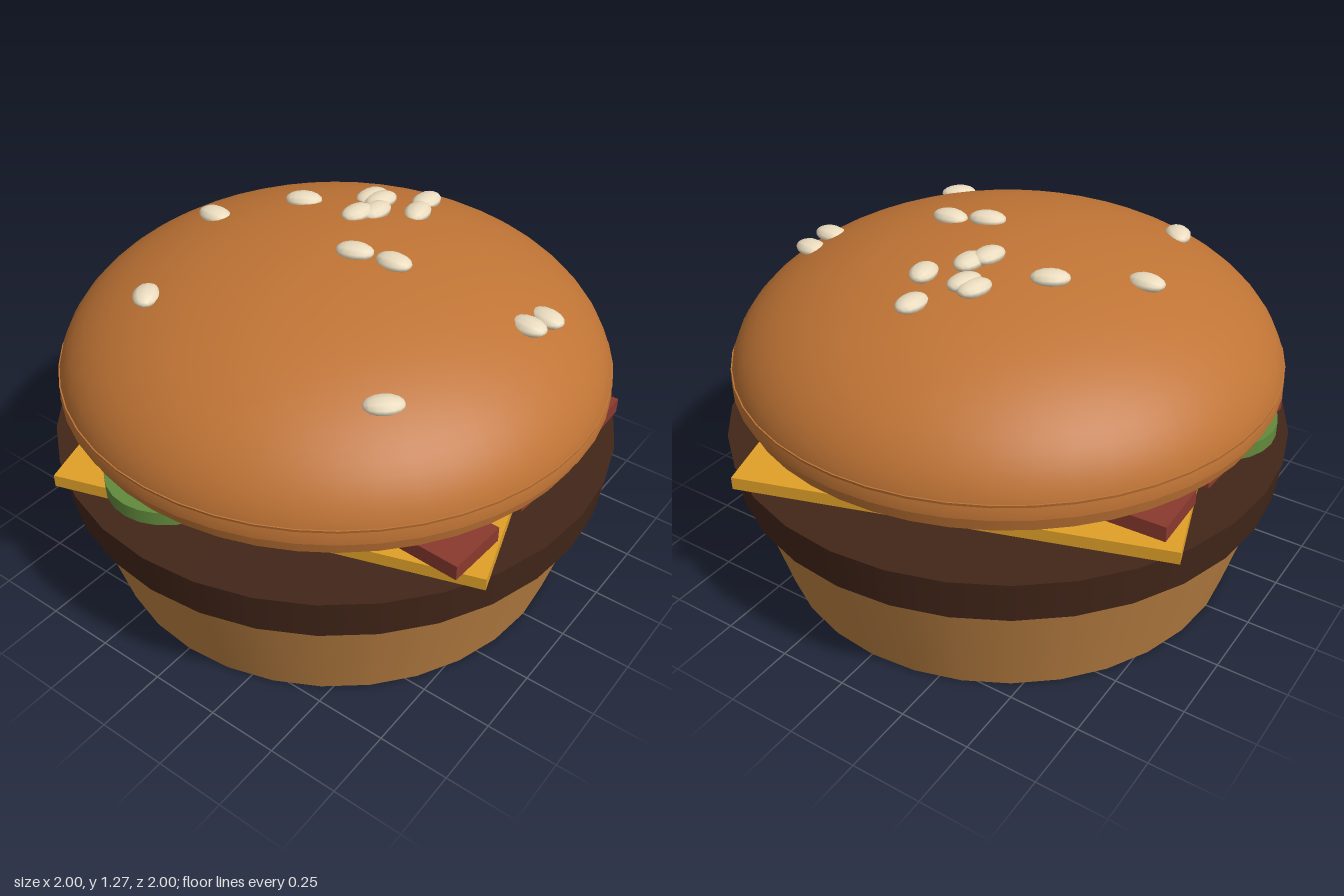
import * as THREE from 'three';

const mat = (color) => new THREE.MeshStandardMaterial({ color });
const bunTopMat = mat(0xc07435), bunBaseMat = mat(0xbf8344), pattyMat = mat(0x432619);
const cheeseMat = mat(0xe0a028), baconMat = mat(0x8b3a2e), pickleMat = mat(0x628a3c), seedMat = mat(0xebddc0);

// Dome of the top bun: a flattened half ellipsoid
const DOME = { y: 0.765, radius: 0.962, height: 0.48 };
const domeHeight = (x, z) =>
  DOME.y + DOME.height * Math.sqrt(1 - (x * x + z * z) / DOME.radius ** 2);

export function createModel() {
  const group = new THREE.Group();
  const add = (name, geometry, material, x, y, z, yaw = 0) => {
    const mesh = new THREE.Mesh(geometry, material);
    mesh.name = name;
    mesh.position.set(x, y, z);
    mesh.rotation.y = yaw;
    group.add(mesh);
    return mesh;
  };
  // Round layer given by its bottom and top heights
  const layer = (name, rBottom, rTop, y0, y1, material, sides = 32) =>
    add(name, new THREE.CylinderGeometry(rTop, rBottom, y1 - y0, sides), material, 0, (y0 + y1) / 2, 0);

  layer('bottomBun', 0.84, 0.95, 0, 0.4, bunBaseMat);
  layer('patty', 0.98, 1, 0.4, 0.555, pattyMat);

  // Square cheese slice, turned so its corners stick out
  add('cheeseSlice', new THREE.BoxGeometry(1.472, 0.045, 1.472), cheeseMat, 0, 0.5775, 0, 0.314);

  // Three bacon strips: z, yaw
  const strip = new THREE.BoxGeometry(1.722, 0.055, 0.225);
  [[0.375, -0.05], [0.005, -0.033], [-0.373, 0.038]].forEach(([z, yaw]) =>
    add('baconStrip', strip, baconMat, 0, 0.6275, z, yaw));

  // Pickle slices: x, z
  const pickle = new THREE.CylinderGeometry(0.214, 0.214, 0.05, 24);
  [[-0.09, 0.756], [-0.48, 0.56], [-0.74, 0.13], [-0.045, -0.478]].forEach(([x, z]) =>
    add('pickleSlice', pickle, pickleMat, x, 0.685, z));

  // Top bun: tapered rim and dome
  layer('topBunRim', 0.935, 0.96, 0.71, 0.818, bunTopMat, 48);
  const dome = add('topBunDome',
    new THREE.SphereGeometry(DOME.radius, 48, 20, 0, Math.PI * 2, 0, Math.PI / 2),
    bunTopMat, 0, DOME.y, 0);
  dome.scale.y = DOME.height / DOME.radius;
  // Underside of the dome's overhang
  const lip = add('topBunLip', new THREE.RingGeometry(0.93, DOME.radius, 48), bunTopMat, 0, DOME.y, 0);
  lip.rotation.x = Math.PI / 2;

  // Sesame seeds resting on the dome: x, z, yaw
  const seed = new THREE.SphereGeometry(1, 10, 8).rotateZ(Math.PI / 2).scale(0.065, 0.026, 0.047);
  [
    [0.03, -0.5, 1.57], [-0.11, -0.36, 1.4], [-0.065, -0.35, 1.4], [0.085, -0.36, 1.85],
    [-0.015, -0.25, 1.6], [-0.05, -0.19, 1.45], [-0.28, -0.185, 0.5], [-0.51, 0.03, -0.05],
    [0.105, 0.035, 0.3], [0.235, 0, 0], [0.69, -0.215, -0.2], [0.68, -0.115, -0.1],
    [-0.385, 0.51, -0.95], [0.54, 0.48, 0.75],
  ].forEach(([x, z, yaw]) => add('sesameSeed', seed, seedMat, x, domeHeight(x, z) + 0.006, z, yaw));

  return group;
}
